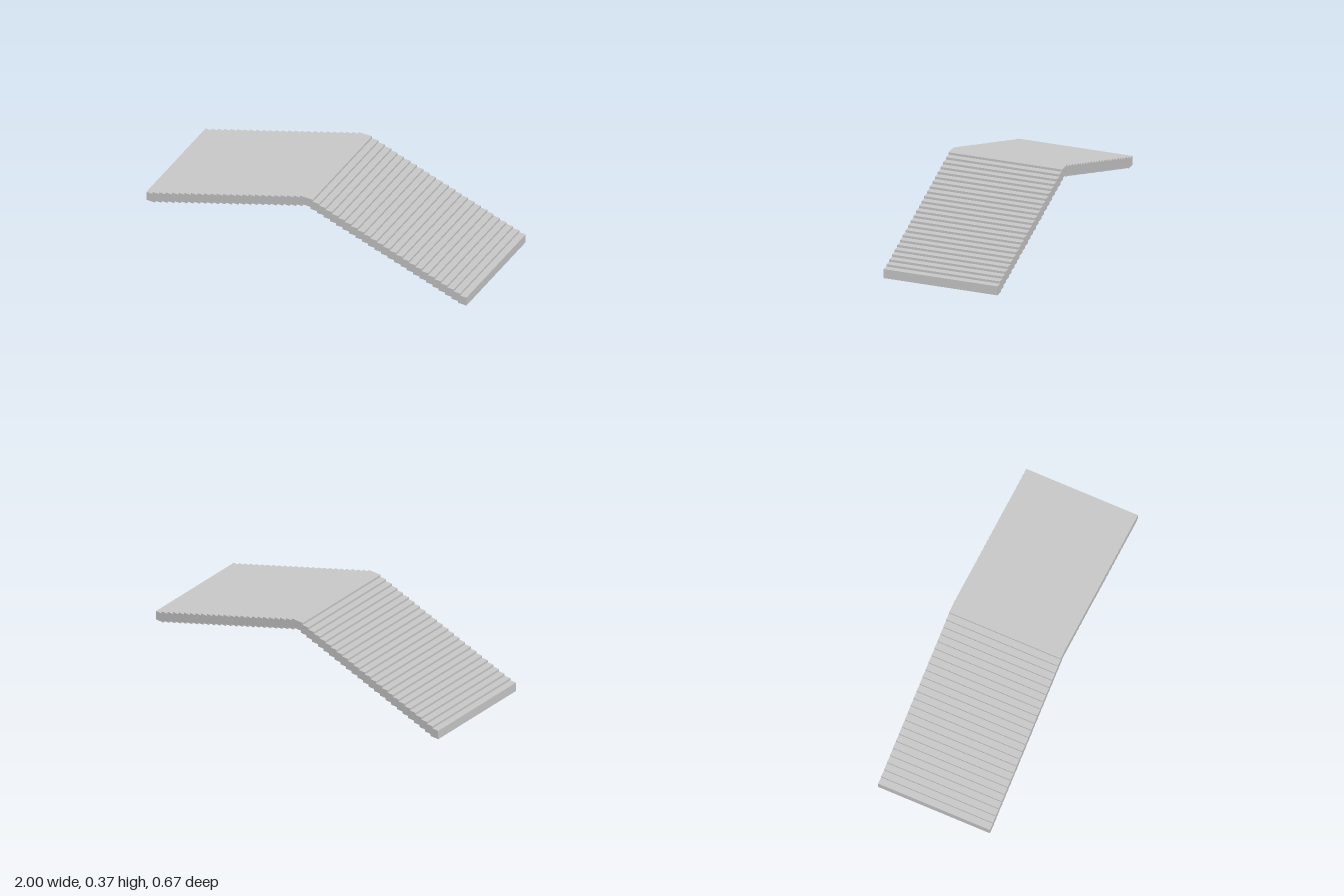
import * as THREE from 'three';

const UNIT = 2 / 150;   // small module all steps are built on
const STEPS = 24;       // risers in each flight
const TREAD = 3 * UNIT;
const RISE = UNIT;
const THICK = 4 * UNIT;
const DEPTH = 50 * UNIT;

// Outline of the left half, from the outer foot to the ridge.
// "inset" is the length of the first tread.
function flight(base, inset) {
  const points = [];
  let x = -1;
  for (let i = 0; i <= STEPS; i++) {
    const y = base + i * RISE;
    const end = i === STEPS ? 0 : -1 + inset + i * TREAD;
    points.push(new THREE.Vector2(x, y), new THREE.Vector2(end, y));
    x = end;
  }
  return points;
}

// Mirror a half outline across the ridge, leaving out the shared middle point.
function mirrored(half) {
  const left = half.slice(0, -1);
  const right = left.map((p) => new THREE.Vector2(-p.x, p.y)).reverse();
  return [...left, ...right];
}

export function createModel() {
  const group = new THREE.Group();
  group.name = 'steppedGableRoof';

  // Stepped underside from left to right, then stepped top back again
  const underside = mirrored(flight(0, THICK));
  const top = mirrored(flight(THICK, TREAD)).reverse();
  const shape = new THREE.Shape([...underside, ...top]);

  const geometry = new THREE.ExtrudeGeometry(shape, { depth: DEPTH, bevelEnabled: false });
  geometry.translate(0, 0, -DEPTH / 2);

  const roof = new THREE.Mesh(
    geometry,
    new THREE.MeshStandardMaterial({ color: 0xcccccc, flatShading: true })
  );
  roof.name = 'steppedRoofSlab';
  group.add(roof);
  return group;
}
